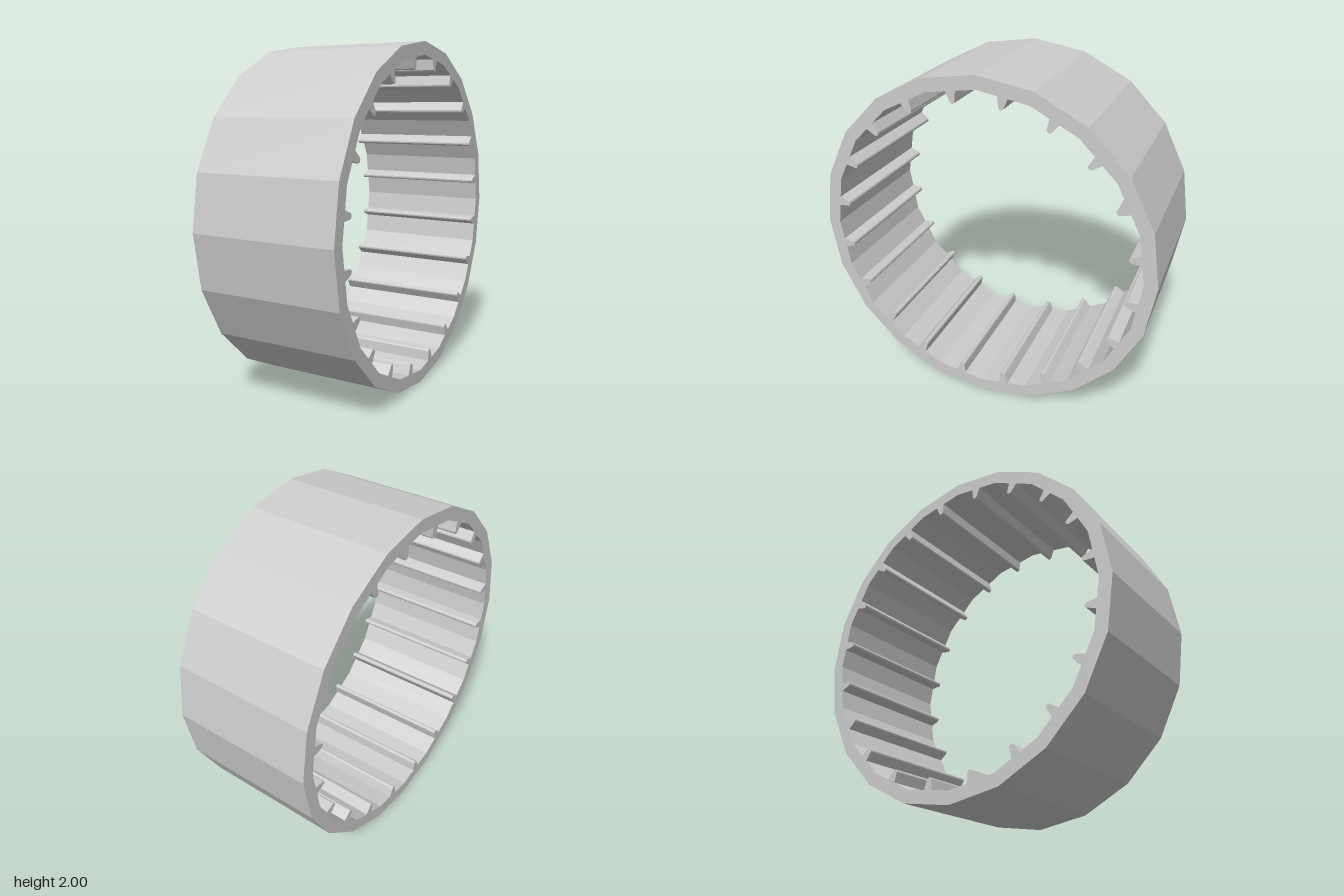
import * as THREE from 'three';

const SIDES = 20;
const OUTER = 1, INNER = 0.925, WIDTH = 0.84;
const STEP = (Math.PI * 2) / SIDES;

// Half-width and radius along one tooth, from base across the rounded tip
function toothProfile() {
  const tipHalf = 0.016, tipCentre = 0.863;
  const points = [[-0.028, INNER * Math.cos(STEP / 2)]];
  for (let i = 0; i <= 6; i++) {
    const a = (i / 6) * Math.PI;
    points.push([-tipHalf * Math.cos(a), tipCentre - tipHalf * Math.sin(a)]);
  }
  points.push([0.028, points[0][1]]);
  return points;
}

export function createModel() {
  const group = new THREE.Group();
  group.name = 'internallyToothedRing';

  // Outer twenty-sided outline, and an inner one with a tooth on every side
  const outer = [], inner = [];
  const tooth = toothProfile();
  for (let k = 0; k < SIDES; k++) {
    const corner = k * STEP, middle = corner + STEP / 2;
    const c = Math.cos(middle), s = Math.sin(middle);
    outer.push(new THREE.Vector2(OUTER * Math.cos(corner), OUTER * Math.sin(corner)));
    inner.push(new THREE.Vector2(INNER * Math.cos(corner), INNER * Math.sin(corner)));
    for (const [t, r] of tooth) inner.push(new THREE.Vector2(r * c - t * s, r * s + t * c));
  }
  const shape = new THREE.Shape(outer);
  shape.holes.push(new THREE.Path(inner));

  // Extrude across the width and lay the axis along x
  const geometry = new THREE.ExtrudeGeometry(shape, { depth: WIDTH, bevelEnabled: false });
  geometry.translate(0, 0, -WIDTH / 2);
  geometry.rotateY(Math.PI / 2);
  geometry.translate(0, OUTER, 0);

  const material = new THREE.MeshStandardMaterial({ color: 0xcccccc, flatShading: true });
  const ring = new THREE.Mesh(geometry, material);
  ring.name = 'toothedRing';
  group.add(ring);
  return group;
}
